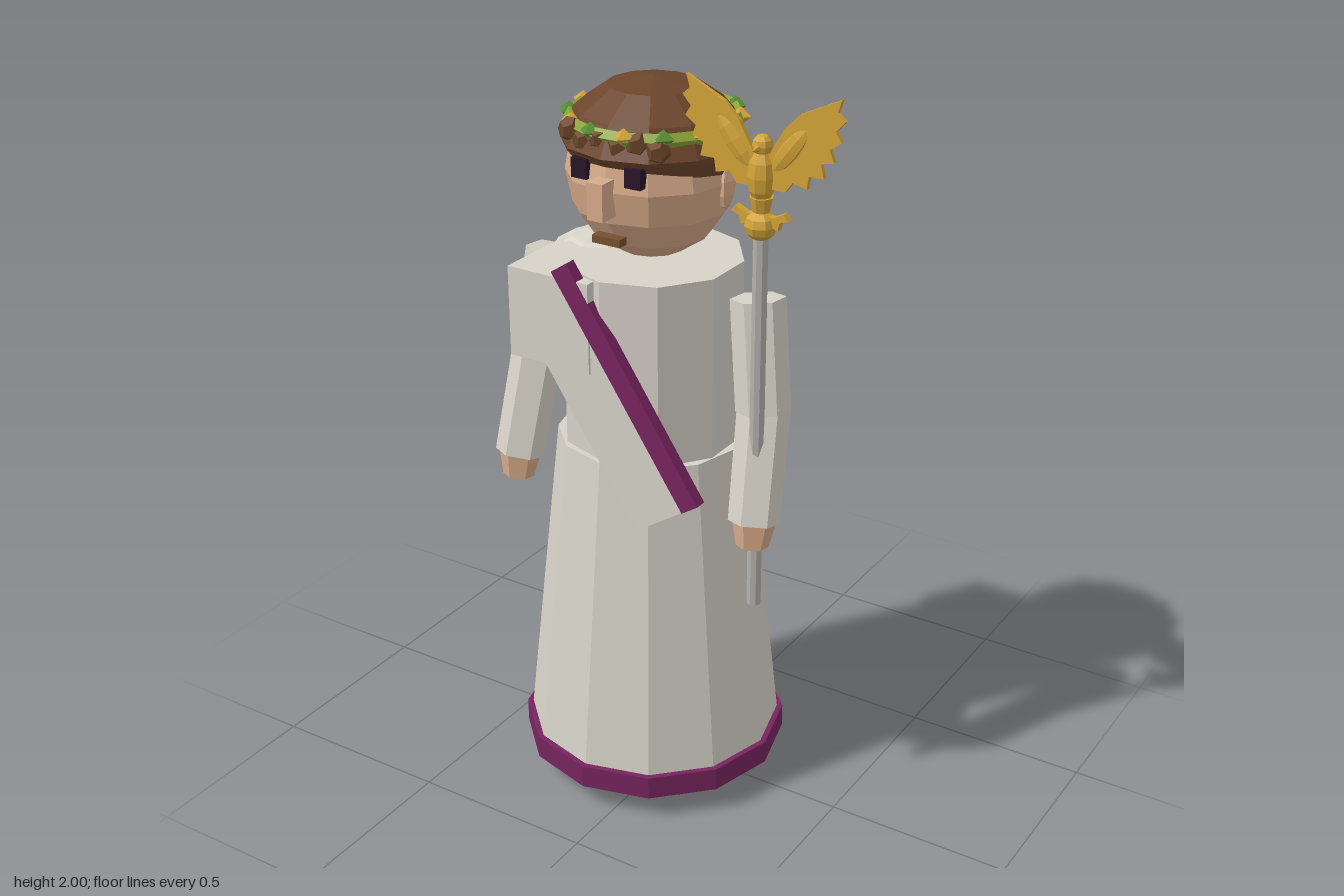
import * as THREE from 'three';

const mat = (name, color) => {
  const m = new THREE.MeshStandardMaterial({ color, flatShading: true });
  m.name = name;
  return m;
};

export function createModel() {
  const robe = mat('robe', 0xd6d2c8), purple = mat('purple', 0x78245f), skin = mat('skin', 0xd8ab8a),
    hair = mat('hair', 0x6c452b), gold = mat('gold', 0xd2a338), vine = mat('vine', 0x8ca638),
    leaf = mat('leaf', 0x568c34), leather = mat('leather', 0x75502f), silver = mat('silver', 0xb4b1ac),
    dark = mat('dark', 0x291428);
  const CX = -0.077; // body axis
  const model = new THREE.Group();
  model.name = 'robedFigure';

  const add = (name, geo, m, x, y, z, parent = model) => {
    const mesh = new THREE.Mesh(geo, m);
    mesh.name = name;
    mesh.position.set(x, y, z);
    parent.add(mesh);
    return mesh;
  };
  const box = (name, m, x, y, z, w, h, d) => add(name, new THREE.BoxGeometry(w, h, d), m, x, y, z);
  const ball = (name, m, x, y, z, rx, ry, rz, ws = 10, hs = 7) => {
    const b = add(name, new THREE.SphereGeometry(1, ws, hs), m, x, y, z);
    b.scale.set(rx, ry, rz);
    return b;
  };
  // Tapered limb between two points
  const limb = (name, m, a, b, ra, rb, sides = 6) => {
    const va = new THREE.Vector3(...a), vb = new THREE.Vector3(...b);
    const dir = va.clone().sub(vb);
    const mesh = add(name, new THREE.CylinderGeometry(ra, rb, dir.length(), sides), m, 0, 0, 0);
    mesh.position.addVectors(va, vb).multiplyScalar(0.5);
    mesh.quaternion.setFromUnitVectors(new THREE.Vector3(0, 1, 0), dir.normalize());
    return mesh;
  };

  // Robe: skirt, hem and torso
  add('skirt', new THREE.CylinderGeometry(0.25, 0.352, 0.938, 12), robe, CX, 0.533, 0);
  add('hem', new THREE.CylinderGeometry(0.36, 0.36, 0.065, 12), purple, CX, 0.0995, 0);
  add('torso', new THREE.CylinderGeometry(0.238, 0.238, 0.5, 10), robe, CX, 1.24, 0);

  // Draped cloth and sash
  box('shoulderDrape', robe, -0.218, 1.365, 0, 0.24, 0.24, 0.516);
  ball('shoulderFold', robe, -0.25, 1.41, -0.03, 0.16, 0.1, 0.165, 8, 6);
  box('sash', robe, CX, 1.168, 0.226, 0.18, 0.67, 0.05).rotation.z = 0.592;
  box('sashTrim', purple, 0.007, 1.23, 0.242, 0.055, 0.68, 0.033).rotation.z = 0.592;

  // Mirrored arms, hands, shoes, eyes and ears
  for (const s of [-1, 1]) {
    const X = (d) => CX + s * d;
    limb('upperArm', robe, [X(0.31), 1.435, 0], [X(0.348), 1.15, 0.03], 0.07, 0.07);
    limb('forearm', robe, [X(0.348), 1.165, 0.025], [X(0.367), 0.87, 0.1], 0.068, 0.066);
    limb('hand', skin, [X(0.367), 0.89, 0.095], [X(0.368), 0.805, 0.108], 0.06, 0.042);
    box('shoe', leather, X(0.118), 0.045, 0.04, 0.153, 0.09, 0.28);
    box('eye', dark, X(0.077), 1.755, 0.188, 0.045, 0.05, 0.03);
    ball('ear', skin, X(0.208), 1.7, -0.01, 0.022, 0.058, 0.032, 6, 5);
  }

  // Head and face
  ball('head', skin, CX, 1.71, 0, 0.217, 0.217, 0.21, 12, 8);
  box('nose', skin, CX, 1.697, 0.22, 0.045, 0.095, 0.06);
  box('mouth', leather, CX, 1.585, 0.19, 0.08, 0.02, 0.03);

  // Hair cap, its lower rim raised toward the face
  const profile = [[0.212, 1.725], [0.232, 1.795], [0.195, 1.87], [0.115, 1.926], [0, 1.946]]
    .map(([r, y]) => new THREE.Vector2(r, y));
  const cap = new THREE.LatheGeometry(profile, 12);
  const p = cap.attributes.position;
  for (let i = 0; i < p.count; i++) {
    if (p.getY(i) < 1.74) p.setY(i, p.getY(i) + p.getZ(i) * 0.22);
  }
  cap.computeVertexNormals();
  const capMesh = add('hair', cap, hair, CX, 0, -0.01);
  capMesh.material.side = THREE.DoubleSide;
  for (let i = 0; i < 6; i++) {
    const t = (i - 2.5) * 0.05;
    add('curl', new THREE.DodecahedronGeometry(0.032), hair, CX + t, 1.835 - (i % 2) * 0.015, 0.182 - t * t * 1.2);
  }

  // Wreath ring with alternating leaves, open at the back
  add('wreath', new THREE.TorusGeometry(0.208, 0.02, 5, 14), vine, CX, 1.843, -0.016).rotation.x = Math.PI / 2;
  for (let i = -2; i < 10; i++) {
    const a = (i / 14) * Math.PI * 2;
    const l = add('wreathLeaf', new THREE.OctahedronGeometry(0.03), i % 2 ? gold : leaf,
      CX + Math.cos(a) * 0.212, 1.85, -0.016 + Math.sin(a) * 0.212);
    l.scale.y = 0.75;
  }

  // Staff with winged finial
  const SX = 0.29, SZ = 0.093;
  add('staff', new THREE.CylinderGeometry(0.019, 0.019, 1.02, 8), silver, SX, 1.14, SZ);
  ball('finialKnob', gold, SX, 1.665, SZ, 0.042, 0.038, 0.042, 8, 6);
  add('finialCup', new THREE.CylinderGeometry(0.03, 0.018, 0.05, 8), gold, SX, 1.71, SZ);
  ball('birdBody', gold, SX, 1.785, SZ, 0.036, 0.07, 0.036, 8, 6);
  ball('birdHead', gold, SX, 1.86, SZ, 0.026, 0.027, 0.026, 8, 6);
  const beak = add('beak', new THREE.ConeGeometry(0.01, 0.03, 5), gold, SX, 1.857, SZ + 0.035);
  beak.rotation.x = Math.PI / 2;

  const wing = [[0.01, 1.76], [0.02, 1.84], [0.06, 1.91], [0.1, 1.95], [0.205, 2.0], [0.195, 1.968], [0.215, 1.95],
    [0.192, 1.925], [0.207, 1.9], [0.178, 1.88], [0.19, 1.85], [0.157, 1.843], [0.165, 1.808], [0.127, 1.808],
    [0.122, 1.775], [0.085, 1.785], [0.065, 1.758]];
  const claw = [[0, 1.675], [0, 1.7], [0.035, 1.69], [0.065, 1.705], [0.078, 1.69], [0.055, 1.682], [0.05, 1.66], [0.03, 1.67]];
  const plate = (name, pts, s, depth) => {
    const shape = new THREE.Shape(pts.map(([x, y]) => new THREE.Vector2(s * x, y)));
    add(name, new THREE.ExtrudeGeometry(shape, { depth, bevelEnabled: false }), gold, SX, 0, SZ - depth / 2);
  };
  for (const s of [-1, 1]) {
    plate('wing', wing, s, 0.012);
    plate('scroll', claw, s, 0.02);
    ball('wingShoulder', gold, SX + s * 0.075, 1.86, SZ, 0.028, 0.075, 0.014, 8, 6).rotation.z = -s * 0.65;
  }
  return model;
}
